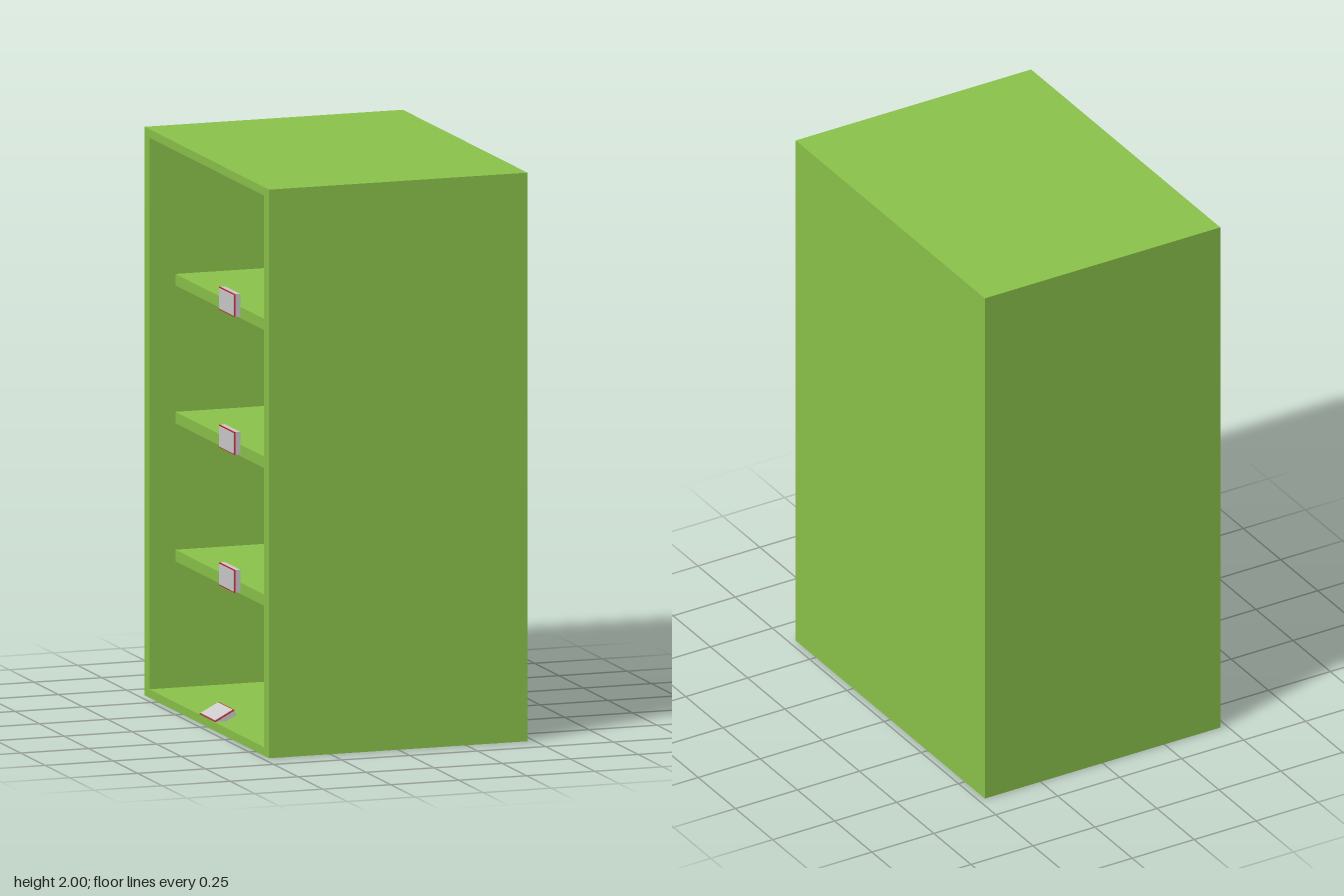
import * as THREE from 'three';

const W = 0.95, H = 2, D = 1.27;      // overall x, y, z
const SIDE = 0.05, PLATE = 0.03;      // wall thickness in z, floor and roof thickness in y
const BACK = 0.04;                    // closed panel on +x
const green = new THREE.MeshStandardMaterial({ color: 0x8bc34a });
const grey = new THREE.MeshStandardMaterial({ color: 0xcccccc });
const red = new THREE.MeshStandardMaterial({ color: 0xc62838 });

function box(name, mat, w, h, d, x, y, z) {
  const mesh = new THREE.Mesh(new THREE.BoxGeometry(w, h, d), mat);
  mesh.name = name;
  mesh.position.set(x, y, z);
  return mesh;
}

function rectangle(target, w, y0, y1) {
  target.moveTo(-w / 2, y0);
  target.lineTo(w / 2, y0);
  target.lineTo(w / 2, y1);
  target.lineTo(-w / 2, y1);
  target.closePath();
  return target;
}

// Label holder facing -x, origin at its centre
function labelHolder(name) {
  const g = new THREE.Group();
  g.name = name;
  g.add(box('holderBody', grey, 0.018, 0.08, 0.155, 0.003, 0, 0));
  g.add(box('holderRim', red, 0.004, 0.08, 0.155, -0.008, 0, 0));
  g.add(box('labelFace', grey, 0.004, 0.072, 0.147, -0.01, 0, 0));
  return g;
}

export function createModel() {
  const model = new THREE.Group();
  model.name = 'shelfCabinet';

  // Floor, roof and two walls as one hollow frame, open on -x
  const outline = rectangle(new THREE.Shape(), D, 0, H);
  outline.holes.push(rectangle(new THREE.Path(), D - 2 * SIDE, PLATE, H - PLATE));
  const frameGeo = new THREE.ExtrudeGeometry(outline, { depth: W, bevelEnabled: false });
  frameGeo.rotateY(Math.PI / 2);
  frameGeo.translate(-W / 2, 0, 0);
  const frame = new THREE.Mesh(frameGeo, green);
  frame.name = 'cabinetFrame';
  model.add(frame);

  // Panel closing the +x side
  const innerD = D - 2 * SIDE, innerH = H - 2 * PLATE;
  model.add(box('closingPanel', green, BACK, innerH, innerD, W / 2 - BACK / 2, H / 2, 0));

  // Three set-back shelves, each with a label holder on its edge
  const shelfFront = -0.38, shelfEnd = W / 2 - BACK, shelfT = 0.04;
  for (let i = 1; i <= 3; i++) {
    const top = PLATE + (innerH / 4) * i;
    model.add(box('shelf' + i, green, shelfEnd - shelfFront, shelfT, innerD,
      (shelfFront + shelfEnd) / 2, top - shelfT / 2, 0));
    const holder = labelHolder('labelHolder' + i);
    holder.position.set(shelfFront - 0.012, top + 0.005, 0);
    model.add(holder);
  }

  // Tilted label holder resting on the floor
  const floorHolder = labelHolder('floorLabelHolder');
  floorHolder.position.set(-0.434, 0.042, 0);
  floorHolder.rotation.z = -1.09;
  model.add(floorHolder);

  return model;
}
